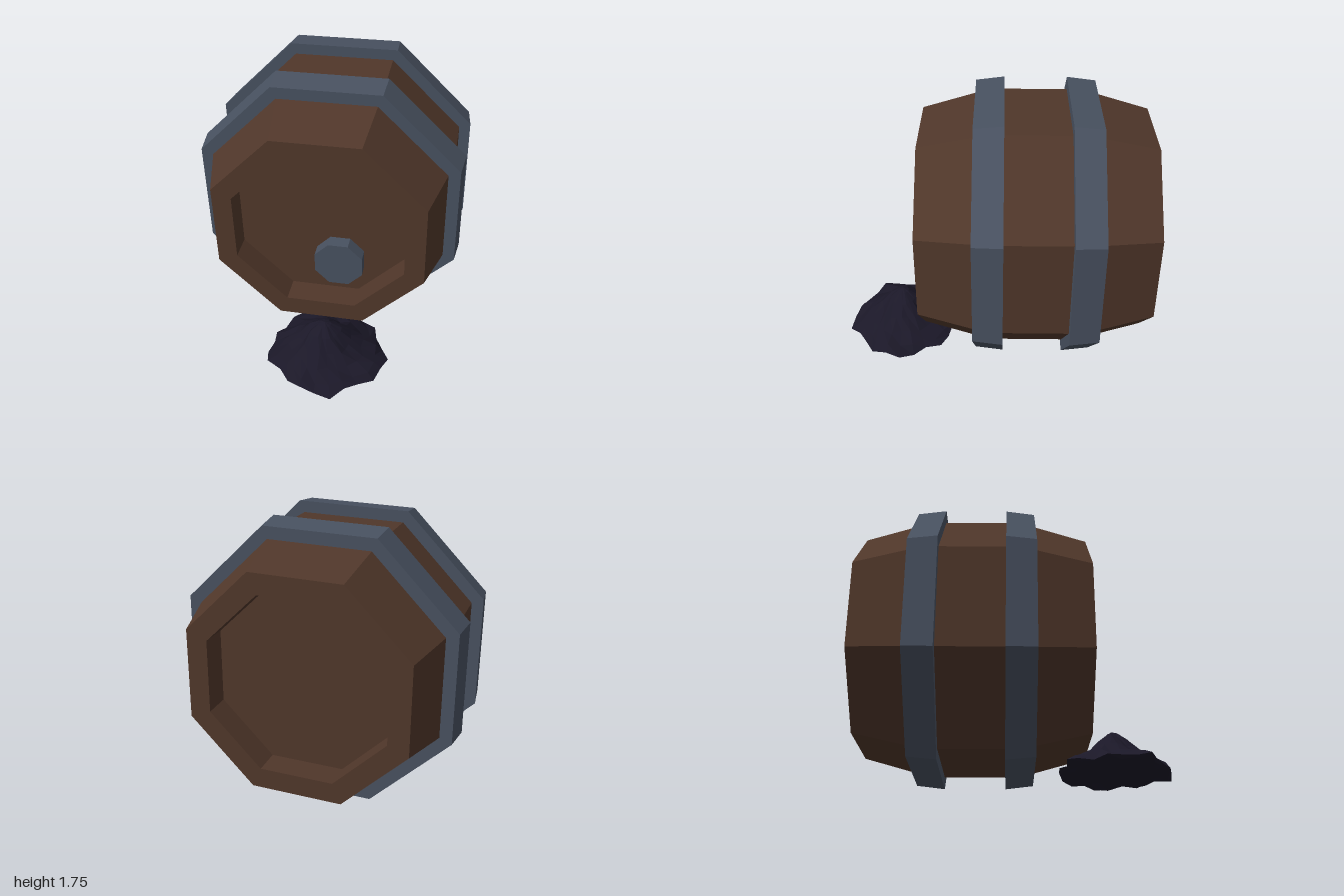
import * as THREE from 'three';

const BARREL_Y = 0.874;
const MID_Z = -0.265;
const TURN = THREE.MathUtils.degToRad(23.7);

const material = (color) => new THREE.MeshStandardMaterial({ color, flatShading: true });

// Eight-sided ring or solid turned around the z axis; profile is [radius, z] pairs
function octagonal(name, profile, mat) {
  const points = profile.map(([r, z]) => new THREE.Vector2(r, z));
  const geometry = new THREE.LatheGeometry(points, 8, TURN).rotateX(Math.PI / 2);
  const mesh = new THREE.Mesh(geometry, mat);
  mesh.name = name;
  return mesh;
}

// Lumpy heap: a turned profile pushed around by periodic waves
function createPile(mat) {
  const profile = [
    [0, 0.07], [0.16, 0.052], [0.29, 0.045], [0.36, 0.042], [0.385, 0.052],
    [0.33, 0.085], [0.25, 0.125], [0.17, 0.185], [0.1, 0.255], [0.04, 0.3], [0, 0.315],
  ].map(([r, y]) => new THREE.Vector2(r, y));
  const geometry = new THREE.LatheGeometry(profile, 24);
  const p = geometry.attributes.position;
  for (let i = 0; i < p.count; i++) {
    const x = p.getX(i), y = p.getY(i), z = p.getZ(i);
    const a = Math.atan2(x, z), r = Math.hypot(x, z);
    const swell = 1 + 0.05 * Math.sin(5 * a + 20 * y) + 0.045 * Math.sin(9 * a + 1 - 35 * y)
      + 0.05 * Math.cos(a - 1.5);
    const lift = r * (0.03 * Math.sin(3 * a + 12 * r) + 0.035 * Math.sin(8 * a - 25 * r)
      - 0.025 * Math.cos(a - 0.6));
    p.setXYZ(i, x * swell, y + lift, z * swell * 0.93);
  }
  geometry.computeVertexNormals();
  const pile = new THREE.Mesh(geometry, mat);
  pile.name = 'powderPile';
  pile.position.set(0.075, 0, 0.64);
  return pile;
}

export function createModel() {
  const model = new THREE.Group();
  const wood = material(0x50372a);
  const iron = material(0x485160);
  const powder = material(0x1b1828);

  const barrel = new THREE.Group();
  barrel.name = 'barrel';
  barrel.position.set(0, BARREL_Y, MID_Z);
  model.add(barrel);

  // Bulging body with a recessed head at both ends
  const half = [[0.858, 0.295], [0.735, 0.735], [0.596, 0.735], [0.596, 0.565], [0, 0.565]];
  const mirrored = half.map(([r, z]) => [r, -z]).reverse();
  barrel.add(octagonal('barrelBody', [...mirrored, ...half], wood));

  // Two tapered hoops, wider toward the middle
  const hoop = [[0.8, 0.203], [0.937, 0.203], [0.915, 0.388], [0.8, 0.388]];
  barrel.add(octagonal('frontHoop', hoop, iron));
  barrel.add(octagonal('backHoop', hoop.map(([r, z]) => [r, -z]).reverse(), iron));

  // Plug in the front head
  const plug = octagonal('plug', [[0, 0.55], [0.17, 0.55], [0.17, 0.655], [0, 0.655]], iron);
  plug.position.set(0.115, 0.595 - BARREL_Y, 0);
  barrel.add(plug);

  model.add(createPile(powder));
  return model;
}
